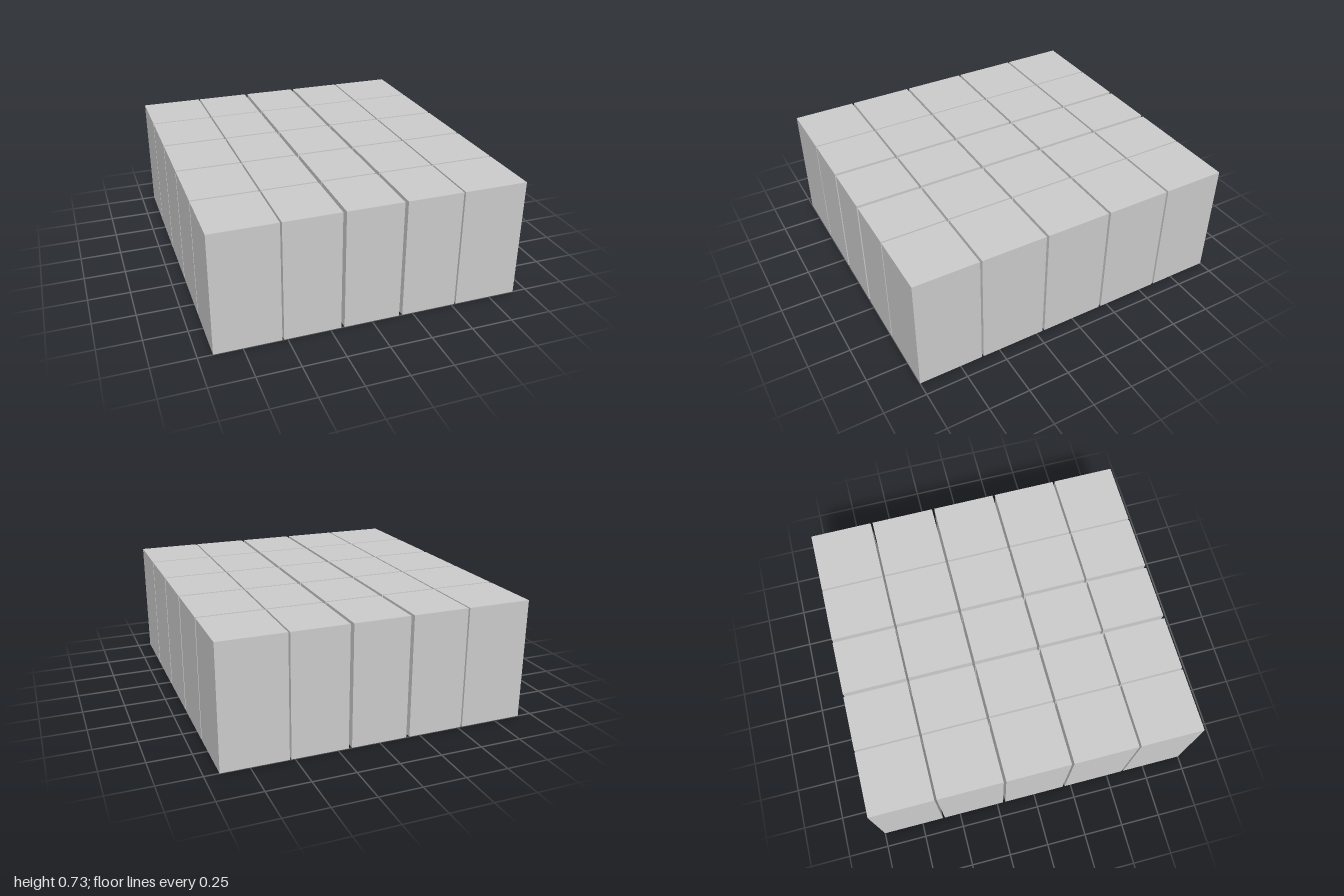
import * as THREE from 'three';

// A 5 x 5 grid of separate square-edged blocks with narrow open gaps
export function createModel() {
  const group = new THREE.Group();
  group.name = 'blockGrid';
  const material = new THREE.MeshStandardMaterial({ color: 0xcccccc, flatShading: true });
  const height = 0.725;

  // Start and end of each column (x) and each row (z)
  const columns = [[-0.915, -0.53], [-0.52, -0.187], [-0.167, 0.167], [0.187, 0.52], [0.53, 0.915]];
  const rows = [[-1, -0.615], [-0.602, -0.21], [-0.195, 0.195], [0.21, 0.602], [0.615, 1]];

  rows.forEach(([z0, z1], r) => {
    columns.forEach(([x0, x1], c) => {
      const block = new THREE.Mesh(new THREE.BoxGeometry(x1 - x0, height, z1 - z0), material);
      block.position.set((x0 + x1) / 2, height / 2, (z0 + z1) / 2);
      block.name = `blockRow${r + 1}Column${c + 1}`;
      group.add(block);
    });
  });
  return group;
}
